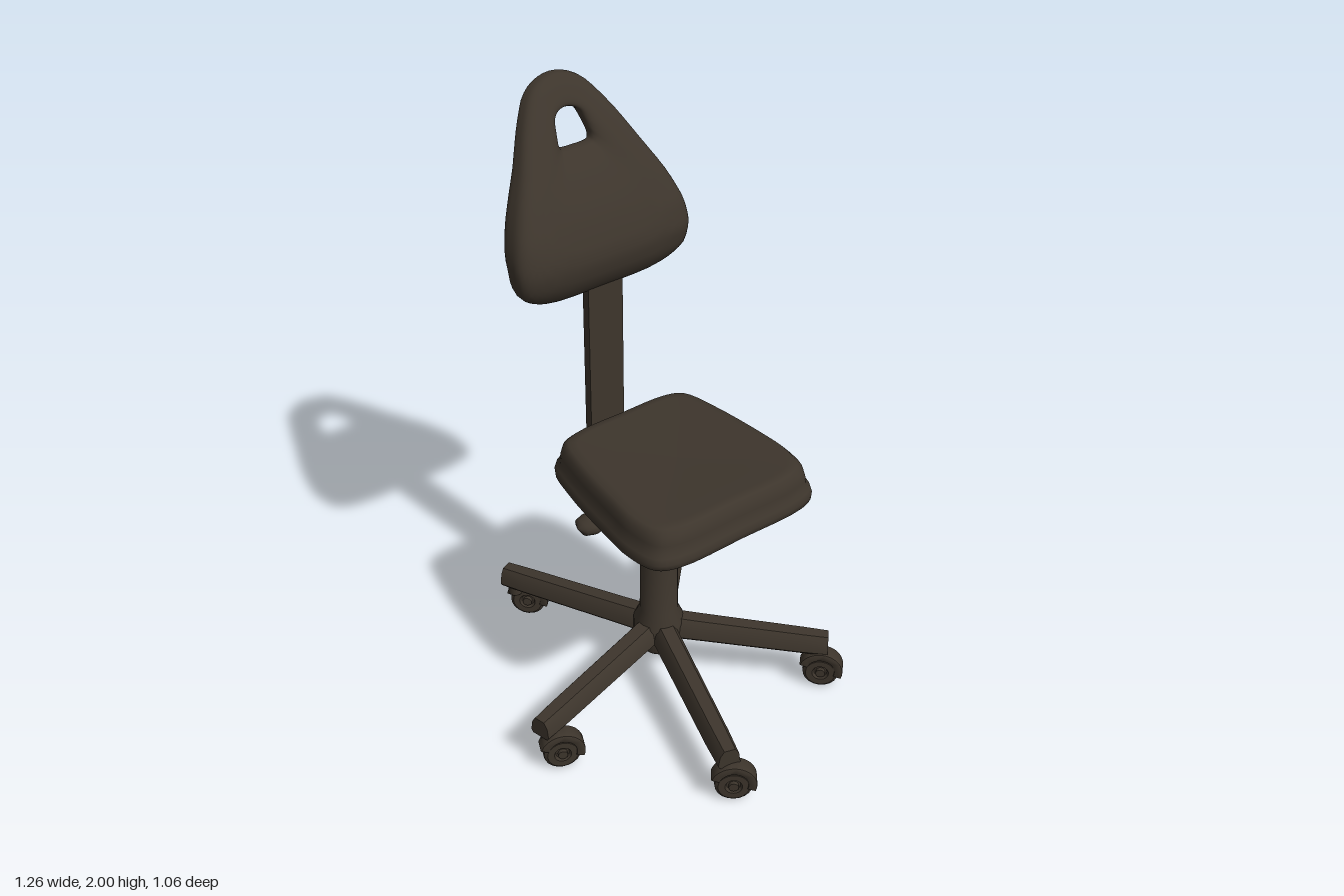
import * as THREE from 'three';
import { toCreasedNormals } from 'three/addons/utils/BufferGeometryUtils.js';

const CX = -0.04, CZ = -0.065; // axis of the column
const V = (x, y, z) => new THREE.Vector3(x, y, z);

const brown = new THREE.MeshStandardMaterial({ color: 0x3d352c });
brown.name = 'darkBrown';

// Skin closed rings of points; loop joins the last ring to the first, faces are turned outward
function loft(rings, loop = false) {
  const n = rings[0].length, m = rings.length, pos = [], idx = [];
  rings.forEach(r => r.forEach(p => pos.push(p.x, p.y, p.z)));
  for (let i = 0; i < (loop ? m : m - 1); i++) {
    for (let j = 0; j < n; j++) {
      const a = i * n + j, b = i * n + (j + 1) % n;
      const c = ((i + 1) % m) * n + j, d = ((i + 1) % m) * n + (j + 1) % n;
      idx.push(a, b, d, a, d, c);
    }
  }
  const at = k => V(pos[3 * k], pos[3 * k + 1], pos[3 * k + 2]);
  let volume = 0;
  for (let k = 0; k < idx.length; k += 3) volume += at(idx[k]).dot(at(idx[k + 1]).cross(at(idx[k + 2])));
  if (volume < 0) idx.reverse();
  const g = new THREE.BufferGeometry();
  g.setAttribute('position', new THREE.Float32BufferAttribute(pos, 3));
  g.setIndex(idx);
  g.computeVertexNormals();
  return g;
}

// Closed smooth curve from half an outline, mirrored: points are [across, along]
function mirroredCurve(half) {
  const other = half.slice(1, -1).reverse().map(([a, b]) => [-a, b]);
  return new THREE.CatmullRomCurve3([...half, ...other].map(([a, b]) => V(a, b, 0)), true, 'centripetal');
}

function sample(curve, n) {
  return Array.from({ length: n }, (_, i) => curve.getPoint(i / n));
}

function lookup(table, y) {
  let i = 0;
  while (i < table.length - 2 && y > table[i + 1][0]) i++;
  const [a, b] = [table[i], table[i + 1]];
  const t = THREE.MathUtils.clamp((y - a[0]) / (b[0] - a[0]), 0, 1);
  return [a[1] + (b[1] - a[1]) * t, a[2] + (b[2] - a[2]) * t];
}

const crease = (g, angle = 0.6) => toCreasedNormals(g, angle);

// Cushion with a wider lower rim and a slightly dished top
function seatGeometry() {
  const outline = sample(mirroredCurve([[0, -0.28], [0.2, -0.275], [0.26, -0.245], [0.295, -0.12],
    [0.325, 0.13], [0.33, 0.24], [0.305, 0.34], [0.24, 0.372], [0, 0.376]]), 64);
  const layers = [[0, 0.825], [0.6, 0.822], [0.96, 0.822], [0.995, 0.832], [1, 0.85], [0.985, 0.87],
    [0.955, 0.88], [0.945, 0.91], [0.925, 0.938], [0.88, 0.954], [0.8, 0.957], [0.5, 0.949], [0, 0.944]];
  return loft(layers.map(([s, y]) => outline.map(p =>
    V(0.05 + (p.y - 0.05) * s, y - (y > 0.9 ? 0.02 * Math.max(0, p.y * s - 0.1) : 0), CZ + p.x * s))));
}

// Rounded triangular back with a hand hole, curving backwards towards the top
function backrestGeometry() {
  const N = 64, M = 40;
  const outer = sample(mirroredCurve([[0, 2.0], [0.085, 1.975], [0.15, 1.9], [0.22, 1.78], [0.29, 1.65],
    [0.32, 1.54], [0.3, 1.44], [0.22, 1.39], [0, 1.378]]), N);
  const hole = sample(mirroredCurve([[0, 1.91], [0.03, 1.903], [0.045, 1.89], [0.053, 1.865], [0.057, 1.845],
    [0.06, 1.825], [0.054, 1.81], [0.03, 1.806], [0, 1.806]]), N);
  // height, middle x, half thickness
  const side = [[1.38, -0.35, 0.055], [1.45, -0.337, 0.065], [1.52, -0.338, 0.07], [1.6, -0.362, 0.07],
    [1.7, -0.405, 0.058], [1.78, -0.447, 0.05], [1.86, -0.495, 0.044], [1.94, -0.546, 0.038], [2.0, -0.575, 0.028]];
  const power = (v, e) => Math.sign(v) * Math.abs(v) ** e;
  const rings = [];
  for (let i = 0; i < M; i++) {
    const a = 2 * Math.PI * (i + 0.5) / M;
    const s = 0.5 - 0.5 * power(Math.cos(a), 0.75), h = power(Math.sin(a), 0.65);
    rings.push(outer.map((o, j) => {
      const p = hole[j].clone().lerp(o, s);
      const [mid, half] = lookup(side, p.y);
      return V(mid + half * h, p.y, CZ + p.x);
    }));
  }
  return loft(rings, true);
}

// Sloping base arm with a bevelled section
function armGeometry(ex, ez) {
  const dir = V(ex - CX, 0, ez - CZ), len = dir.length();
  dir.normalize();
  const section = [[-1, 0.15], [-0.85, 0.7], [-0.5, 1], [0.5, 1], [0.85, 0.7], [1, 0.15], [0.8, 0], [-0.8, 0]];
  const stations = [[0, 0.045, 0.18, 0.258, 1], [0, 0.045, 0.18, 0.258, 0], [0.25, 0.044, 0.17, 0.243, 0],
    [0.85, 0.041, 0.142, 0.212, 0], [1, 0.037, 0.135, 0.204, 0], [1, 0.037, 0.135, 0.204, 1]];
  return crease(loft(stations.map(([t, w, lo, hi, shut]) => section.map(([u, v]) => {
    const k = shut ? 0 : 1, mid = (lo + hi) / 2, y = lo + (hi - lo) * v;
    return V(CX + dir.x * len * t - dir.z * w * u * k, mid + (y - mid) * k, CZ + dir.z * len * t + dir.x * w * u * k);
  }))), 0.7);
}

export function createModel() {
  const chair = new THREE.Group();
  chair.name = 'swivelChair';
  const add = (name, geometry, parent = chair) => {
    const mesh = new THREE.Mesh(geometry, brown);
    mesh.name = name;
    parent.add(mesh);
    return mesh;
  };
  const lathe = (pts, n = 28) => crease(new THREE.LatheGeometry(pts.map(([r, y]) => new THREE.Vector2(r, y)), n));

  add('seat', seatGeometry());
  add('backrest', backrestGeometry());
  add('backPost', new THREE.BoxGeometry(0.03, 0.6, 0.13)).position.set(-0.33, 1.125, CZ);

  // Gas column: sleeve, collar, rod and seat mount
  add('column', lathe([[0, 0.115], [0.055, 0.115], [0.065, 0.13], [0.065, 0.18], [0.085, 0.19], [0.085, 0.24],
    [0.064, 0.285], [0.061, 0.61], [0.07, 0.615], [0.07, 0.645], [0.06, 0.652], [0.028, 0.652], [0.028, 0.735],
    [0.05, 0.735], [0.056, 0.75], [0.056, 0.83], [0, 0.83]])).position.set(CX, 0, CZ);

  // Height lever with a flattened paddle
  const lever = [[-0.07, 0.745, 0, 0], [-0.07, 0.745, 0.018, 0.02], [0.02, 0.742, 0.018, 0.02], [0.07, 0.73, 0.024, 0.018],
    [0.13, 0.722, 0.042, 0.027], [0.18, 0.718, 0.046, 0.03], [0.21, 0.718, 0.036, 0.024], [0.225, 0.718, 0, 0]];
  add('heightLever', loft(lever.map(([z, y, w, h]) => Array.from({ length: 14 }, (_, i) => {
    const a = i / 14 * 2 * Math.PI;
    return V(-0.08 + w * Math.cos(a), y + h * Math.sin(a), z);
  }))));

  // Caster parts: rounded wheel and a hood arched over it
  const wheelGeometry = lathe([[0, -0.012], [0.022, -0.012], [0.028, -0.022], [0.05, -0.022], [0.06, -0.014],
    [0.062, 0], [0.06, 0.014], [0.05, 0.022], [0.028, 0.022], [0.022, 0.012], [0, 0.012]], 20);
  wheelGeometry.rotateX(Math.PI / 2);
  const arch = new THREE.Shape();
  arch.absarc(0, 0, 0.07, -0.3, 2.8, false);
  arch.absarc(0, 0, 0.05, 2.8, -0.3, true);
  const hoodGeometry = crease(new THREE.ExtrudeGeometry(arch, { depth: 0.044, bevelEnabled: true, bevelSize: 0.004,
    bevelThickness: 0.005, bevelSegments: 2, curveSegments: 14 }).translate(0, 0, -0.022));

  // Five arms: end x, end z, wheel x, wheel z, wheel heading x, z
  const arms = [
    [-0.49, -0.495, -0.545, -0.5, -1, 0.05],
    [-0.61, 0.175, -0.56, 0.12, 0.7, -0.7],
    [0.1, 0.515, 0.13, 0.455, 0.4, -0.9],
    [0.565, 0.12, 0.57, 0.105, 0.6, -0.8],
    [0.345, -0.485, 0.345, -0.46, 0.7, -0.7],
  ];
  for (const [ex, ez, wx, wz, hx, hz] of arms) {
    add('baseArm', armGeometry(ex, ez));
    const caster = new THREE.Group();
    caster.name = 'caster';
    caster.position.set(wx, 0.072, wz);
    caster.rotation.y = Math.atan2(-hz, hx);
    add('wheel', wheelGeometry, caster).position.y = -0.01;
    add('hood', hoodGeometry, caster);
    add('axle', new THREE.CylinderGeometry(0.016, 0.016, 0.05, 12).rotateX(Math.PI / 2), caster).position.y = -0.01;
    chair.add(caster);
    // Pin between the arm end and the caster
    const back = Math.hypot(ex - CX, ez - CZ), px = ex - (ex - CX) / back * 0.035, pz = ez - (ez - CZ) / back * 0.035;
    add('casterPin', new THREE.CylinderGeometry(0.024, 0.024, 0.06, 14)).position.set(px, 0.13, pz);
  }
  return chair;
}
